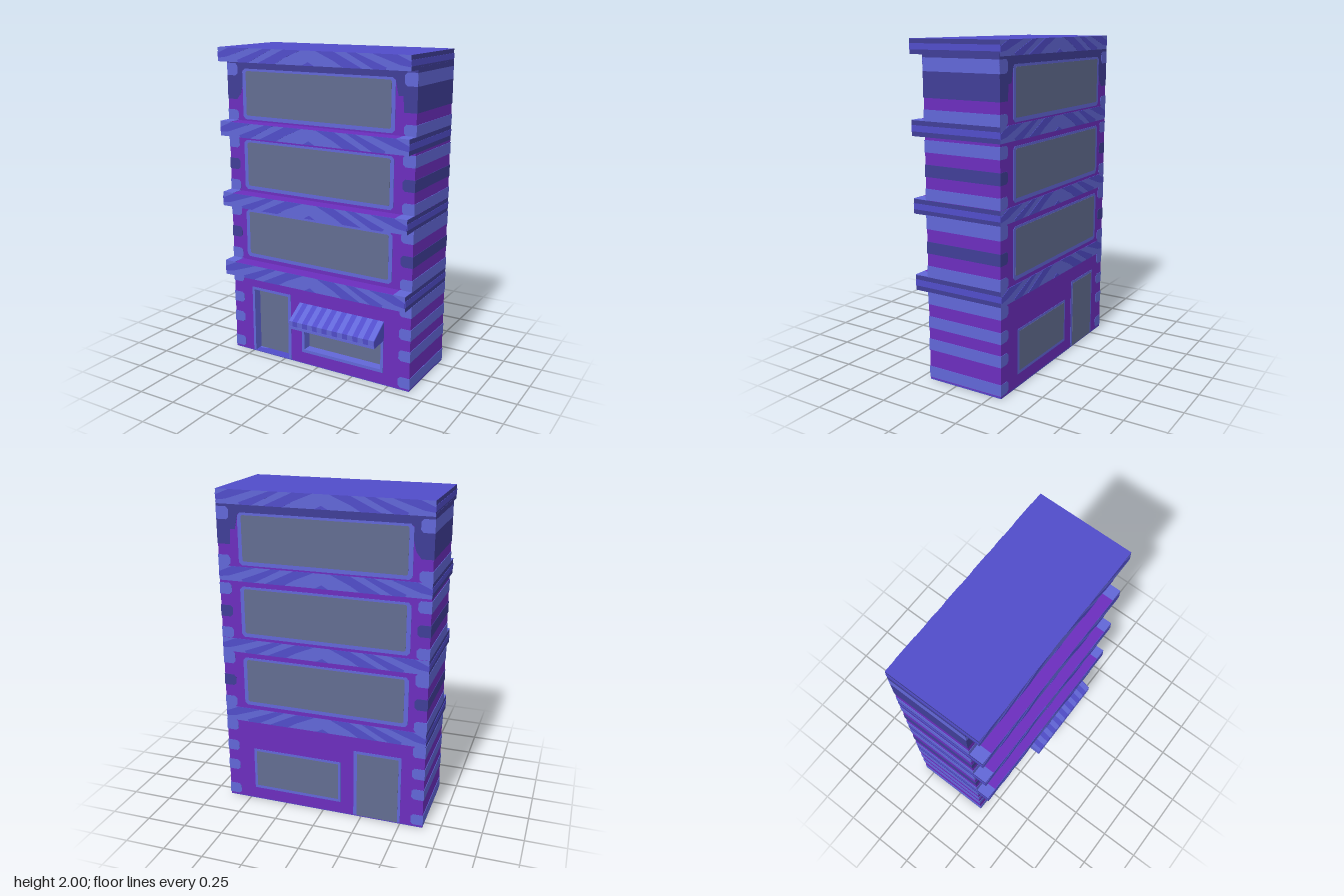
import * as THREE from 'three';

const mat = (name, color, extra = {}) => {
  const m = new THREE.MeshStandardMaterial({ color, ...extra });
  m.name = name;
  return m;
};

export function createModel() {
  const wall = mat('purple wall', 0x6c2ebe);
  const light = mat('light blue trim', 0x6267d8);
  const mid = mat('mid blue', 0x514dca);
  const navy = mat('navy', 0x403e98);
  const glass = mat('grey glass', 0x636d92);

  const model = new THREE.Group();
  model.name = 'building';
  const W = 0.645, FRONT = 0.188, BACK = -0.311, T = 0.002;

  const add = (name, geo, material) => {
    const m = new THREE.Mesh(geo, material);
    m.name = name;
    model.add(m);
    return m;
  };
  // Box given by its limits
  const box = (name, x0, x1, y0, y1, z0, z1, material) => {
    const g = new THREE.BoxGeometry(x1 - x0, y1 - y0, z1 - z0);
    g.translate((x0 + x1) / 2, (y0 + y1) / 2, (z0 + z1) / 2);
    return add(name, g, material);
  };
  const poly = (pts) => new THREE.Shape(pts.map(([x, y]) => new THREE.Vector2(x, y)));
  // Rectangle with cut corners
  const rect = (x0, x1, y0, y1, c = 0) => poly(c ? [
    [x0 + c, y0], [x1 - c, y0], [x1, y0 + c], [x1, y1 - c],
    [x1 - c, y1], [x0 + c, y1], [x0, y1 - c], [x0, y0 + c],
  ] : [[x0, y0], [x1, y0], [x1, y1], [x0, y1]]);
  const plate = (name, shape, material, z0, z1) => {
    const g = new THREE.ExtrudeGeometry(shape, { depth: z1 - z0, bevelEnabled: false });
    g.translate(0, 0, z0);
    return add(name, g, material);
  };
  // Thin painted plate on both the front and back walls
  const both = (name, shape, material, t = T) => {
    plate(name + 'Front', shape, material, FRONT - T, FRONT + t);
    plate(name + 'Back', shape, material, BACK - t, BACK + T);
  };

  // Main block and front wall with door and shop window openings
  const B = 0.642, RECESS = 0.128;
  box('core', -B, B, 0.004, 1.96, BACK, RECESS, wall);
  box('base', -B, B, 0, 0.008, BACK, FRONT, mid);
  const door = [-0.5, -0.2, 0.008, 0.455], doorGlass = [-0.483, -0.222, 0.008, 0.438];
  const shop = [-0.117, 0.465, 0.08, 0.36], shopGlass = [-0.1, 0.447, 0.1, 0.345];
  const front = poly([
    [-B, 0.004], [door[0], 0.004], [door[0], door[3]], [door[1], door[3]],
    [door[1], 0.004], [B, 0.004], [B, 1.96], [-B, 1.96],
  ]);
  front.holes.push(rect(...shop));
  plate('frontWall', front, wall, RECESS, FRONT);

  // Deep frames in front, flat painted copies at the back
  for (const [name, outer, inner] of [['door', door, doorGlass], ['shopWindow', shop, shopGlass]]) {
    const ring = rect(...outer);
    ring.holes.push(rect(...inner));
    plate(name + 'Frame', ring, light, RECESS, FRONT + T);
    plate(name + 'Glass', rect(...inner), glass, RECESS - T, RECESS + T);
    plate(name + 'BackFrame', rect(...outer), light, BACK - T, BACK + T);
    plate(name + 'BackGlass', rect(...inner), glass, BACK - 2 * T, BACK + T);
  }

  // Upper windows
  for (const [y0, y1] of [[0.665, 0.98], [1.115, 1.43], [1.56, 1.87]]) {
    both('windowFrame', rect(-0.53, 0.512, y0, y1, 0.018), light, 0.0025);
    both('windowGlass', rect(-0.504, 0.488, y0 + 0.024, y1 - 0.014, 0.008), glass, 0.004);
  }

  // Dark band below the roof, with stepped ends
  both('topBand', poly([
    [-W, 1.68], [-0.575, 1.68], [-0.545, 1.72], [-0.53, 1.78], [-0.53, 1.86],
    [0.51, 1.86], [0.53, 1.77], [0.56, 1.77], [0.565, 1.68], [W, 1.68], [W, 1.93], [-W, 1.93],
  ]), navy, 0.001);

  // Corner blocks, continued as bands across the sides
  const bands = [
    [0.015, 0.085, light], [0.19, 0.26, light], [0.33, 0.4, light], [0.475, 0.548, light],
    [0.64, 0.71, light], [0.785, 0.855, navy], [0.93, 1.012, light],
    [1.1, 1.167, light], [1.235, 1.305, navy], [1.375, 1.445, light],
    [1.55, 1.615, light], [1.68, 1.825, navy], [1.825, 1.9, light], [1.9, 1.93, navy],
  ];
  for (const [y0, y1, m] of bands) {
    for (const s of [-1, 1]) {
      const outer = s * W, inner = s * 0.567;
      box('sideBand', Math.min(s * 0.64, outer), Math.max(s * 0.64, outer), y0, y1, BACK, FRONT, m);
      if (y0 < 1.65 || m === light) {
        const c = 0.015, k = s * c;
        const pts = [[outer, y0], [inner + k, y0], [inner, y0 + c], [inner, y1 - c], [inner + k, y1], [outer, y1]];
        both('cornerBlock', poly(s > 0 ? pts.reverse() : pts), m);
      }
    }
  }

  // Floor ledges with a wood-grain chevron pattern, mirrored about the middle
  const grain = [
    [[0.05, 1], [0.17, 1], [0.35, 0], [0.23, 0], [0.17, 0.4]],
    [[0.25, 1], [0.31, 1], [0.5, 0.15], [0.49, 0], [0.42, 0]],
    [[0.41, 1], [0.56, 1], [0.642, 0.6], [0.642, 0.25], [0.58, 0.35]],
    [[0, 0.25], [0.04, 0], [0, 0]],
  ];
  for (const [y0, y1] of [[0.547, 0.64], [1.01, 1.098], [1.46, 1.55], [1.915, 2]]) {
    const isTop = y1 === 2, h = y1 - y0, zb = BACK - T, zf = 0.278;
    box('ledge', -0.643, 0.643, y0, y1, zb, zf, [navy, navy, isTop ? mid : wall, mid, light, light]);
    for (const s of [-1, 1]) {
      const x0 = s > 0 ? 0.64 : -W;
      box('ledgeSideStripe', x0, x0 + 0.005, y0 + h * 0.3, y0 + h * 0.7, zb, zf, mid);
      if (!isTop) {
        const e = s > 0 ? 0.567 : -0.643;
        box('ledgeTopEnd', e, e + 0.076, y1 - T, y1 + T, FRONT, zf, light);
      }
      for (const pts of grain) {
        const shape = poly(pts.map(([x, v]) => [s * x, y0 + v * h]));
        plate('grainFront', shape, mid, zf - T, zf + T);
        plate('grainBack', shape, mid, zb - T, zb + T);
      }
    }
  }

  // Striped awning: one wedge profile swept sideways, stripe by stripe
  const profile = [[0.186, 0.295], [0.313, 0.29], [0.315, 0.34], [0.186, 0.42]];
  const wedge = (name, x0, x1, m) => {
    const g = new THREE.ExtrudeGeometry(poly(profile.map(([z, y]) => [-z, y])), { depth: x1 - x0, bevelEnabled: false });
    g.rotateY(Math.PI / 2);
    g.translate(x0, 0, 0);
    return add(name, g, m);
  };
  const pitch = 0.0712, right = 0.467;
  wedge('awningEnd', -0.132, -0.107, light);
  for (let i = 0; i < 8; i++) {
    const x = -0.107 + i * pitch;
    wedge('awningDarkStripe', x, x + pitch / 2, mid);
    wedge('awningLightStripe', x + pitch / 2, x + pitch, light);
  }
  wedge('awningEnd', -0.107 + 8 * pitch, right, mid);
  box('awningHem', -0.132, right, 0.29, 0.306, 0.31, 0.316, light);

  return model;
}
